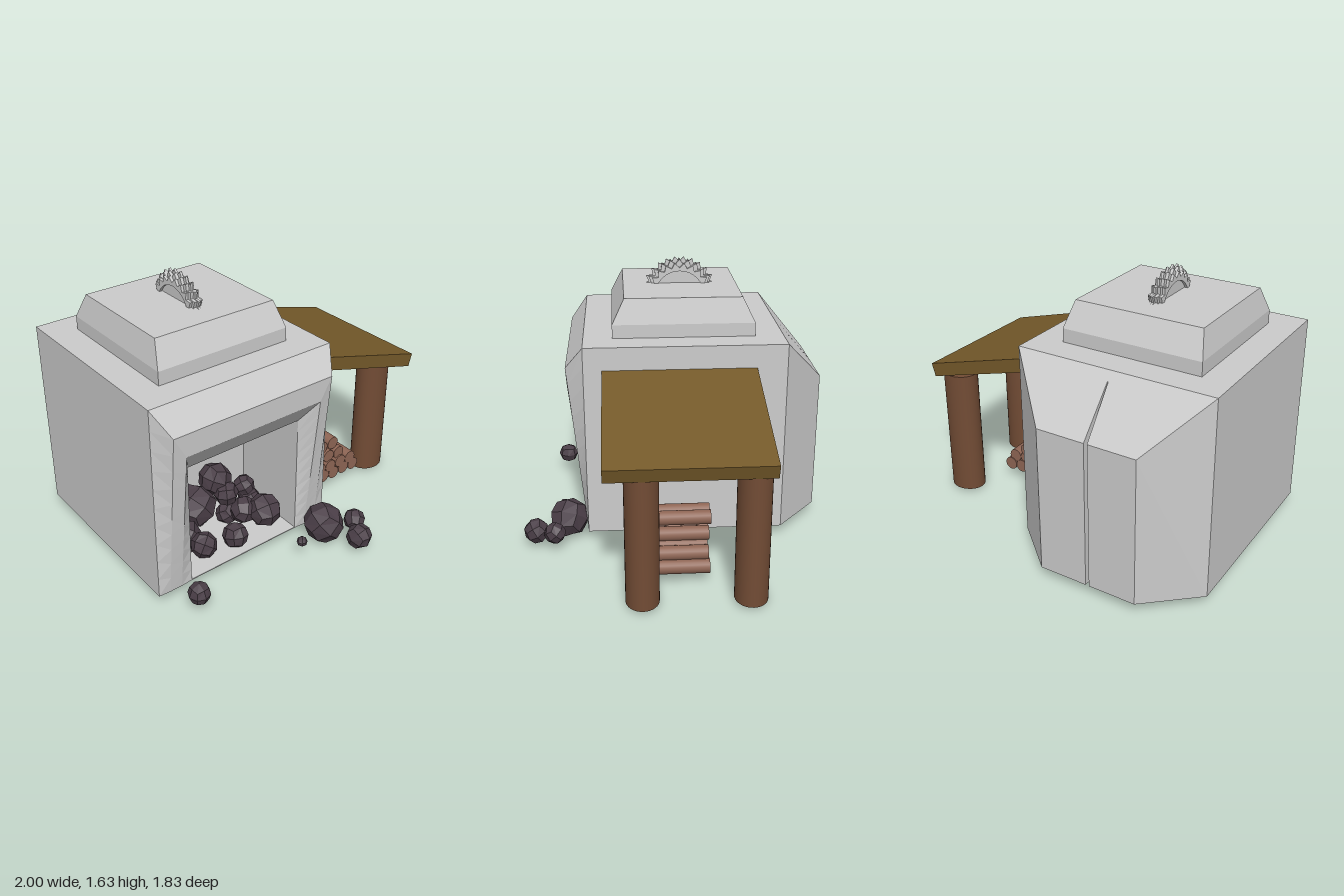
import * as THREE from 'three';

const mat = (color, flatShading = true) => new THREE.MeshStandardMaterial({ color, flatShading });
const STONE = mat(0xcccccc);
const ROOF = mat(0x755a2a);
const POST = mat(0x724c35, false);
const LOG = mat(0x8f6655, false);
const COAL = mat(0x4a3e47);

const CX = -0.41;      // middle of the furnace
const BASE = 0.075;    // underside of the furnace

function add(parent, name, geometry, material, x = 0, y = 0, z = 0) {
  const mesh = new THREE.Mesh(geometry, material);
  mesh.name = name;
  mesh.position.set(x, y, z);
  parent.add(mesh);
  return mesh;
}

// Joins successive loops of points with quads; a closed skin wraps round
// and gets a four-cornered lid on its last loop.
function skin(loops, closed) {
  const pos = [];
  const quad = (a, b, c, d) => pos.push(...a, ...b, ...c, ...a, ...c, ...d);
  for (let i = 0; i + 1 < loops.length; i++) {
    const p = loops[i], q = loops[i + 1], n = p.length;
    for (let k = 0; k < (closed ? n : n - 1); k++) {
      const m = (k + 1) % n;
      quad(p[k], q[k], q[m], p[m]);
    }
  }
  if (closed) {
    const e = loops[loops.length - 1];
    quad(e[0], e[3], e[2], e[1]);
  }
  const g = new THREE.BufferGeometry();
  g.setAttribute('position', new THREE.Float32BufferAttribute(pos, 3));
  g.computeVertexNormals();
  return g;
}

// Door-shaped loop: half width, top height, z at the foot and z at the top.
// The jambs are divided so that twisted faces bend evenly.
function arch(w, top, zFoot, zTop) {
  const steps = 10, left = [], right = [];
  for (let i = 0; i <= steps; i++) {
    const t = i / steps;
    const y = BASE + (top - BASE) * t, z = zFoot + (zTop - zFoot) * t;
    left.push([CX - w, y, z]);
    right.unshift([CX + w, y, z]);
  }
  return [...left, ...right];
}

// Rear bulge: plan with a narrow slit, its top sloping down to the back
function rearGeometry() {
  const plan = new THREE.Shape([
    [-1, 0.66], [0.18, 0.66], [-0.11, 0.918], [CX + 0.009, 0.918],
    [CX + 0.004, 0.7], [CX - 0.001, 0.7], [CX - 0.012, 0.918], [-0.705, 0.918],
  ].map(([x, y]) => new THREE.Vector2(x, y)));
  const g = new THREE.ExtrudeGeometry(plan, { depth: 1, bevelEnabled: false });
  g.rotateX(-Math.PI / 2);
  const p = g.attributes.position;
  for (let i = 0; i < p.count; i++) {
    const drop = (-0.66 - p.getZ(i)) * (0.3 / 0.258);
    p.setY(i, p.getY(i) < 0.5 ? BASE : 1.25 - drop);
  }
  g.computeVertexNormals();
  return g;
}

function buildFurnace() {
  const g = new THREE.Group();
  g.name = 'furnace';
  // Outer walls, protruding door surround and hollow chamber in one skin
  add(g, 'furnaceBody', skin([
    arch(0.59, 1.25, -0.66, -0.66),
    arch(0.59, 1.25, 0.52, 0.52),
    arch(0.52, 1.11, 0.525, 0.625),
    arch(0.445, 0.975, 0.525, 0.622),
    arch(0.375, 0.83, 0.52, 0.52),
    arch(0.375, 0.83, 0.02, 0.02),
  ], false), STONE);
  add(g, 'chamberBack', new THREE.PlaneGeometry(0.75, 0.755), STONE, CX, 0.4525, 0.02);
  add(g, 'furnaceFloor', new THREE.BoxGeometry(1.18, 0.006, 1.18), STONE, CX, BASE + 0.003, -0.07);
  add(g, 'rearBulge', rearGeometry(), STONE);

  // Stepped cap with sloping sides
  const rect = (w, d, y) => [[-w, y, d], [-w, y, -d], [w, y, -d], [w, y, d]];
  add(g, 'cap', skin([
    rect(0.418, 0.42, 1.25), rect(0.418, 0.42, 1.33), rect(0.382, 0.347, 1.478),
  ], true), STONE, CX, 0, -0.07);
  return g;
}

// Curved band with a zigzag outer edge, standing in the y-z plane
function toothedBand(radius, inner, teeth, width) {
  const pts = [], n = teeth * 2;
  const polar = (r, i) => {
    const a = -1.28 + (2.56 * i) / n;
    return new THREE.Vector2(r * Math.sin(a), r * Math.cos(a));
  };
  for (let i = 0; i <= n; i++) pts.push(polar(i % 2 ? radius - 0.03 : radius, i));
  for (let i = n; i >= 0; i--) pts.push(polar(inner, i));
  const g = new THREE.ExtrudeGeometry(new THREE.Shape(pts), { depth: width, bevelEnabled: false });
  return g.translate(0, 0, -width / 2).rotateY(Math.PI / 2);
}

// Curved spiny crest on top of the cap
function buildCrest() {
  const g = new THREE.Group();
  g.name = 'crest';
  g.position.set(CX, 1.404, -0.07);
  const core = new THREE.CylinderGeometry(0.188, 0.188, 0.045, 16);
  core.rotateZ(Math.PI / 2);
  // Keep the core from reaching below the cap surface
  const p = core.attributes.position;
  for (let i = 0; i < p.count; i++) p.setY(i, Math.max(p.getY(i), 0.05));
  add(g, 'crestCore', core, STONE);
  // Toothed bands, highest along the middle
  add(g, 'crestRidge', toothedBand(0.234, 0.16, 11, 0.014), STONE);
  for (const s of [-1, 1]) {
    add(g, 'crestBand', toothedBand(0.22, 0.16, 10, 0.018), STONE, s * 0.016);
    add(g, 'crestEdge', toothedBand(0.2, 0.15, 9, 0.016), STONE, s * 0.033);
  }
  return g;
}

// Lean-to shelter: sloping slab on two posts
function buildShelter() {
  const g = new THREE.Group();
  g.name = 'shelter';
  const slab = new THREE.Shape([
    [0.17, 1.115], [0.17, 1.03], [0.977, 0.8], [1, 0.88],
  ].map(([x, y]) => new THREE.Vector2(x, y)));
  add(g, 'shelterRoof', new THREE.ExtrudeGeometry(slab, { depth: 0.897, bevelEnabled: false }),
    ROOF, 0, 0, -0.483);
  for (const z of [0.215, -0.38]) {
    const post = add(g, 'post', new THREE.CylinderGeometry(0.11, 0.11, 0.797, 32), POST, 0.863, 0.4265, z);
    post.scale.z = 0.85;
  }
  return g;
}

// Stack of logs: each row gives height, x positions and rear end
function buildLogs() {
  const g = new THREE.Group();
  g.name = 'logPile';
  const length = 0.45;
  const rows = [
    [0.116, [0.335, 0.42, 0.505, 0.59, 0.675], -0.17],
    [0.183, [0.305, 0.385, 0.47, 0.555, 0.64], -0.165],
    [0.253, [0.375, 0.46, 0.545], -0.175],
    [0.328, [0.415, 0.505], -0.19],
  ];
  for (const [y, xs, back] of rows) {
    xs.forEach((x, i) => {
      const log = add(g, 'log', new THREE.CylinderGeometry(0.042, 0.042, length, 20), LOG,
        x, y + (i % 2) * 0.004, back + length / 2);
      log.rotation.x = Math.PI / 2;
    });
  }
  return g;
}

// Faceted coal lumps, heaped in the chamber and spilled in front
function buildCoal() {
  const g = new THREE.Group();
  g.name = 'coal';
  const lump = new THREE.BoxGeometry(1, 1, 1, 2, 2, 2);
  const p = lump.attributes.position, v = new THREE.Vector3();
  for (let i = 0; i < p.count; i++) {
    v.fromBufferAttribute(p, i).normalize();
    p.setXYZ(i, v.x, v.y, v.z);
  }
  // x, y, z, radius
  const lumps = [
    [-0.85, 0.135, 0.685, 0.065], [0.09, 0.13, 0.64, 0.122], [0.195, 0.1, 0.835, 0.077],
    [0.265, 0.12, 0.72, 0.066], [-0.115, 0.115, 0.68, 0.032],
    [-0.48, 0.21, 0.12, 0.135], [-0.32, 0.33, 0.11, 0.103], [-0.155, 0.185, 0.38, 0.105],
    [-0.645, 0.125, 0.235, 0.113], [-0.72, 0.15, 0.2, 0.062], [-0.6, 0.14, 0.38, 0.08],
    [-0.405, 0.14, 0.42, 0.078], [-0.305, 0.27, 0.2, 0.077], [-0.17, 0.27, 0.2, 0.067],
    [-0.3, 0.12, 0.2, 0.072], [-0.25, 0.18, 0.3, 0.085], [-0.13, 0.15, 0.2, 0.075],
  ];
  lumps.forEach(([x, y, z, r], i) => {
    const c = add(g, 'coalLump', lump, COAL, x, y, z);
    c.scale.setScalar(r);
    c.rotation.set(i * 1.3, i * 0.7, i * 2.1);
  });
  return g;
}

export function createModel() {
  const model = new THREE.Group();
  model.name = 'furnaceWithWoodShelter';
  model.add(buildFurnace(), buildCrest(), buildShelter(), buildLogs(), buildCoal());
  return model;
}
